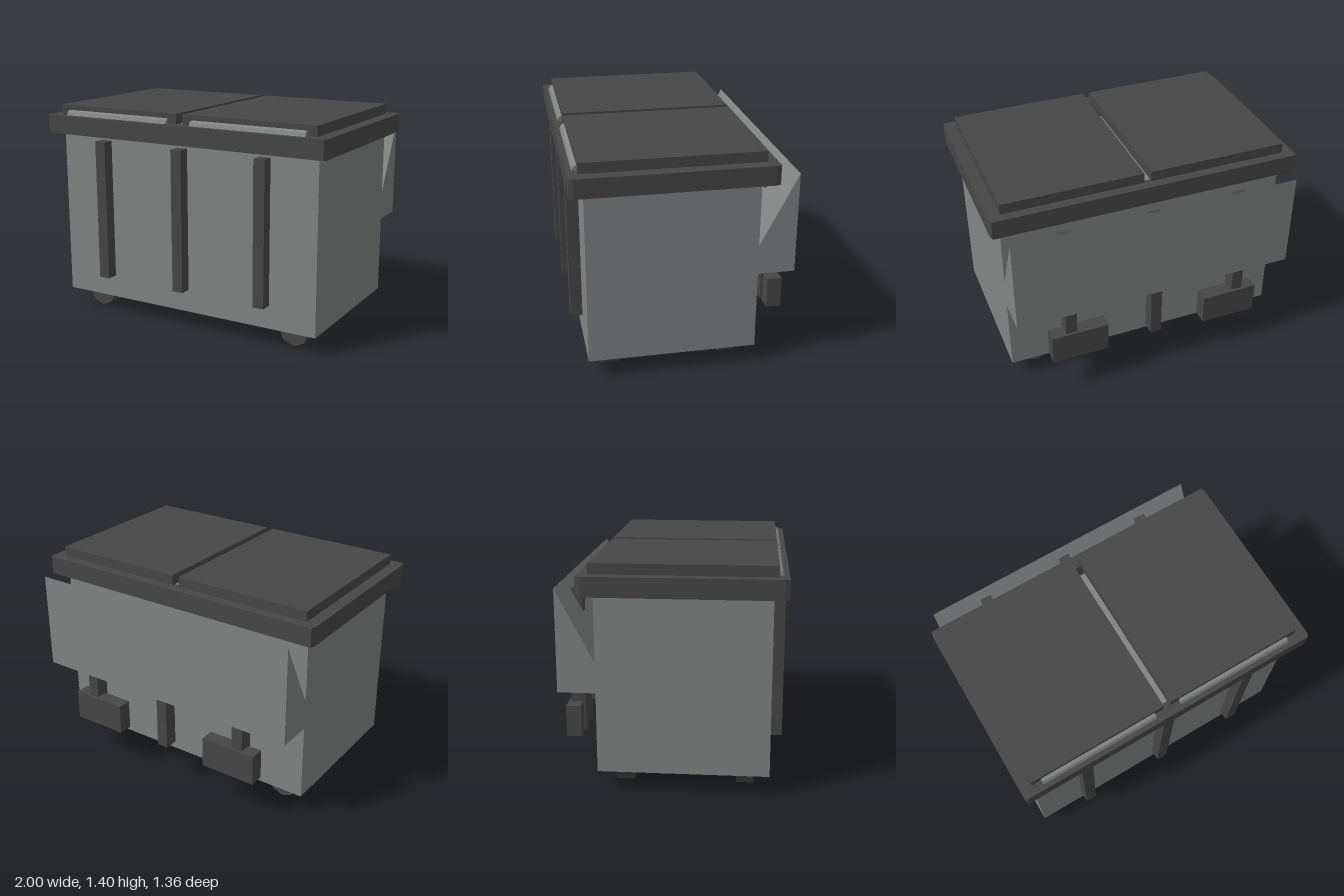
import * as THREE from 'three';

export function createModel() {
  const model = new THREE.Group();
  const grey = new THREE.MeshStandardMaterial({ color: 0x808584 });
  grey.name = 'greyMetal';
  const dark = new THREE.MeshStandardMaterial({ color: 0x474747 });
  dark.name = 'darkPlastic';

  const add = (name, geometry, material) => {
    const mesh = new THREE.Mesh(geometry, material);
    mesh.name = name;
    model.add(mesh);
    return mesh;
  };

  // Box given by its lower and upper limits on each axis
  const box = (name, [x0, x1], [y0, y1], [z0, z1], material) =>
    add(name, new THREE.BoxGeometry(x1 - x0, y1 - y0, z1 - z0), material)
      .position.set((x0 + x1) / 2, (y0 + y1) / 2, (z0 + z1) / 2);

  const toShape = (points) => new THREE.Shape(points.map(([a, b]) => new THREE.Vector2(a, b)));

  // Side profile of [z, y] points, extruded along x about a centre
  const sideExtrude = (points, width, centreX) =>
    new THREE.ExtrudeGeometry(toShape(points), { depth: width, bevelEnabled: false })
      .rotateY(-Math.PI / 2)
      .translate(centreX + width / 2, 0, 0);

  // Bin body with the rear hopper in one profile
  add('body', sideExtrude([
    [0.592, 0.123], [0.592, 1.22], [-0.45, 1.22], [-0.45, 0.81],
    [-0.68, 1.255], [-0.68, 0.622], [-0.45, 0.622], [-0.45, 0.123],
  ], 1.855, 0), grey);

  // Rim frame with clipped corners and an opening
  const rim = toShape([
    [-0.99, -0.678], [0.99, -0.678], [1, -0.65], [1, 0.51],
    [0.99, 0.541], [-0.99, 0.541], [-1, 0.51], [-1, -0.65],
  ]);
  rim.holes.push(new THREE.Path([
    [-0.9, -0.585], [-0.9, 0.457], [0.9, 0.457], [0.9, -0.585],
  ].map(([a, b]) => new THREE.Vector2(a, b))));
  add('rim', new THREE.ExtrudeGeometry(rim, { depth: 0.12, bevelEnabled: false })
    .rotateX(-Math.PI / 2).translate(0, 1.22, 0), dark);

  // Lids, each with a slanted grip along its front edge
  for (const side of [-1, 1]) {
    const name = side > 0 ? 'left' : 'right';
    const lidX = side > 0 ? [0.022, 0.922] : [-0.925, -0.025];
    box(name + 'Lid', lidX, [1.34, 1.405], [-0.48, 0.617], dark);
    add(name + 'Grip', sideExtrude([
      [0.61, 1.34], [0.647, 1.34], [0.637, 1.363], [0.617, 1.373], [0.61, 1.373],
    ], 0.775, side > 0 ? 0.472 : -0.475), grey);
  }

  // Upright ribs on front and back
  for (const x of [-0.583, -0.002, 0.578]) {
    const span = [x - 0.037, x + 0.037];
    box('frontRib', span, [0.272, 1.19], [0.58, 0.667], dark);
    box('rearRib', span, [0.272, 1.19], [-0.663, -0.572], dark);
  }

  // Rear bumper blocks
  for (const x of [-0.525, 0.525])
    box('rearBlock', [x - 0.187, x + 0.187], [0.26, 0.46], [-0.68, -0.586], dark);

  // Eight-sided wheels
  for (const x of [-0.738, 0.738])
    for (const z of [0.443, -0.301]) {
      const geometry = new THREE.CylinderGeometry(0.1, 0.1, 0.106, 8).rotateX(Math.PI / 2).toNonIndexed();
      geometry.computeVertexNormals();
      add('wheel', geometry, dark).position.set(x, 0.1, z);
    }

  return model;
}
